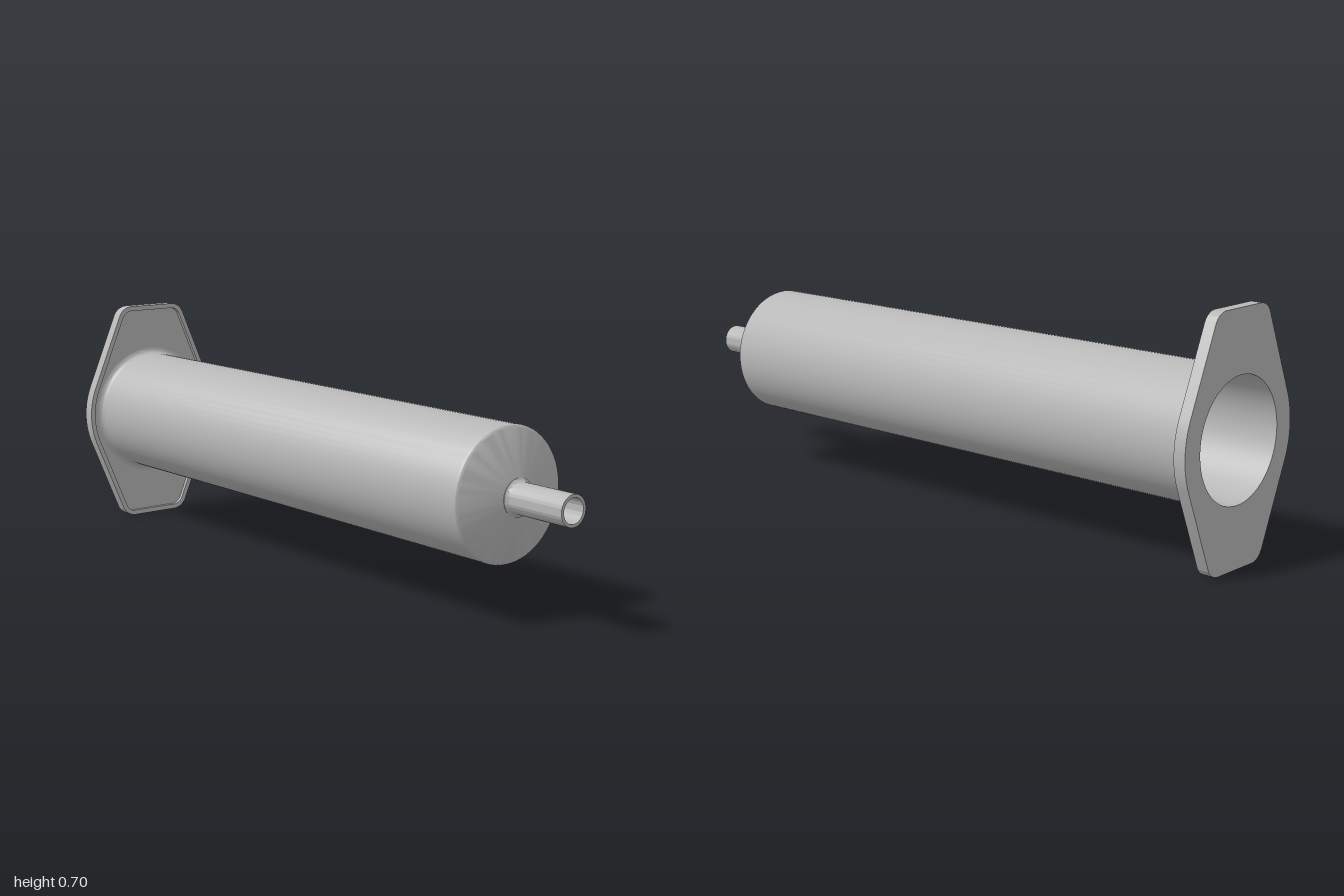
import * as THREE from 'three';
import { toCreasedNormals } from 'three/addons/utils/BufferGeometryUtils.js';

const BORE = 0.175; // inner radius of the barrel
const SLEEVE = 0.185; // flange hole, filled by the barrel wall
const AXIS_Y = 0.3525;

// Flange outline: round waist, straight tapering sides, rounded corners.
// Every arc is concentric, so an inset just shrinks the radii.
function outline(inset, PathType) {
  const path = new PathType();
  const a = THREE.MathUtils.degToRad(23);
  const q = Math.PI;
  const waist = 0.24 - inset, corner = 0.05 - inset;
  const cx = 0.078, cy = AXIS_Y - 0.05;
  path.absarc(0, 0, waist, -a, a, false);
  path.absarc(cx, cy, corner, a, q / 2, false);
  path.absarc(-cx, cy, corner, q / 2, q - a, false);
  path.absarc(0, 0, waist, q - a, q + a, false);
  path.absarc(-cx, -cy, corner, q + a, 1.5 * q, false);
  path.absarc(cx, -cy, corner, 1.5 * q, 2 * q - a, false);
  path.closePath();
  return path;
}

// Extrude a shape along x from x0 to x1
function slab(shape, x0, x1, curveSegments) {
  const geo = new THREE.ExtrudeGeometry(shape, { depth: x1 - x0, bevelEnabled: false, curveSegments });
  geo.rotateY(Math.PI / 2).translate(x0, 0, 0);
  return toCreasedNormals(geo, 0.6);
}

// Points of a quarter-like fillet as [x, radius]
function fillet(x, r, radius, from, to, steps = 5) {
  return Array.from({ length: steps + 1 }, (_, i) => {
    const t = from + (to - from) * i / steps;
    return [x + radius * Math.cos(t), r + radius * Math.sin(t)];
  });
}

export function createModel() {
  const group = new THREE.Group();
  const plastic = new THREE.MeshStandardMaterial({ color: 0xb8b8b8 });
  plastic.name = 'grey plastic';

  const add = (name, geo) => {
    const mesh = new THREE.Mesh(geo, plastic);
    mesh.name = name;
    mesh.position.y = AXIS_Y;
    group.add(mesh);
  };

  // Hollow barrel with conical shoulder and nozzle, one closed profile
  const profile = [
    [-1, BORE], [-1, SLEEVE], [-0.977, SLEEVE], [-0.977, 0.209],
    ...fillet(-0.958, 0.209, 0.019, Math.PI, 1.5 * Math.PI),
    ...fillet(0.753, 0.178, 0.012, Math.PI / 2, 0.28),
    [0.799, 0.053],
    ...fillet(0.813, 0.056, 0.012, Math.PI + 0.2, 1.5 * Math.PI),
    [1, 0.044], [1, 0.035],
    [0.79, 0.035], [0.75, BORE], [-1, BORE],
  ].map(([x, r]) => new THREE.Vector2(r, x));
  const barrel = new THREE.LatheGeometry(profile, 64);
  barrel.rotateZ(-Math.PI / 2);
  add('barrel', toCreasedNormals(barrel, 0.6));

  // Finger flange plate with the open end of the bore
  const plate = outline(0, THREE.Shape);
  plate.holes.push(new THREE.Path().absarc(0, 0, SLEEVE, 0, Math.PI * 2, true));
  add('flangePlate', slab(plate, -1, -0.977, 32));

  // Raised rim around the flange
  const rim = outline(0, THREE.Shape);
  rim.holes.push(outline(0.015, THREE.Path));
  add('flangeRim', slab(rim, -0.977, -0.965, 16));

  return group;
}
